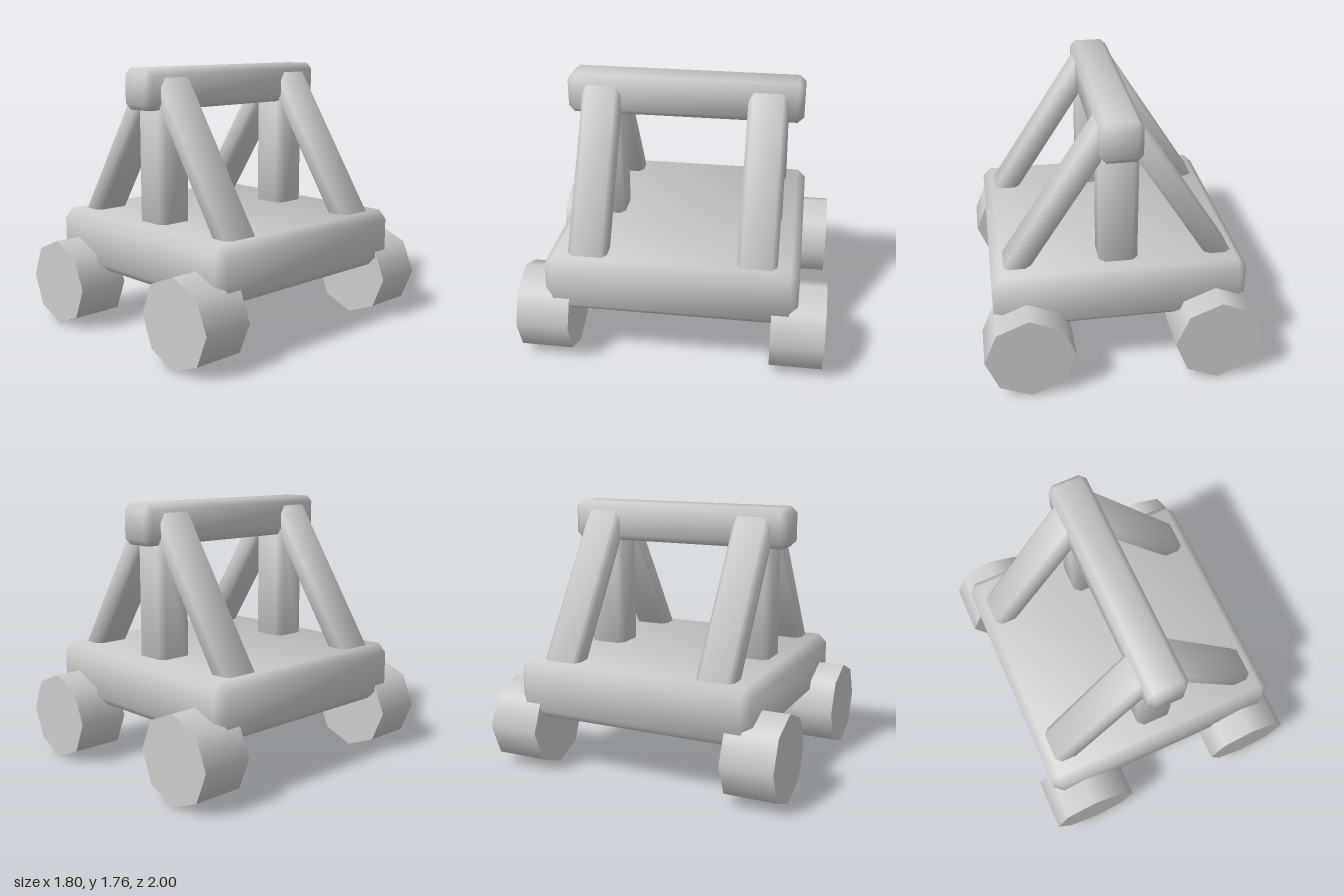
import * as THREE from 'three';
import { ConvexGeometry } from 'three/addons/geometries/ConvexGeometry.js';

// Box with every edge cut by one chamfer and softly blended normals
function chamferedBox(w, h, d, c) {
  const half = [w / 2, h / 2, d / 2];
  const points = [];
  for (const sx of [-1, 1]) for (const sy of [-1, 1]) for (const sz of [-1, 1]) {
    for (let axis = 0; axis < 3; axis++) {
      const p = half.map((v, i) => (i === axis ? v : v - c));
      points.push(new THREE.Vector3(sx * p[0], sy * p[1], sz * p[2]));
    }
  }
  const geometry = new ConvexGeometry(points);
  const pos = geometry.attributes.position;
  const normal = geometry.attributes.normal;
  for (let i = 0; i < pos.count; i++) {
    const p = [pos.getX(i), pos.getY(i), pos.getZ(i)];
    const n = p.map((v, k) => Math.sign(v) * (half[k] - Math.abs(v) < c / 2 ? 1 : 0.39));
    const v = new THREE.Vector3(...n).normalize();
    normal.setXYZ(i, v.x, v.y, v.z);
  }
  return geometry;
}

export function createModel() {
  const model = new THREE.Group();
  model.name = 'wheeledFrame';
  const grey = new THREE.MeshStandardMaterial({ color: 0xcccccc });
  grey.name = 'plain grey';

  const add = (name, geometry, x, y, z) => {
    const mesh = new THREE.Mesh(geometry, grey);
    mesh.name = name;
    mesh.position.set(x, y, z);
    model.add(mesh);
    return mesh;
  };

  // Deck and ridge beam
  add('deck', chamferedBox(1.645, 0.377, 1.64, 0.058), 0, 0.567, 0);
  add('ridgeBeam', chamferedBox(0.264, 0.264, 1.565, 0.04), 0, 1.625, 0);

  // Wheels
  const wheel = new THREE.CylinderGeometry(0.29, 0.29, 0.345, 8);
  wheel.rotateX(Math.PI / 2);

  // Sloping braces run from the deck up into the ridge beam
  const foot = new THREE.Vector2(0.71, 0.665);
  const head = new THREE.Vector2(0.05, 1.69);
  const length = foot.distanceTo(head);
  const lean = Math.atan2(foot.x - head.x, head.y - foot.y);
  const brace = chamferedBox(0.147, length, 0.256, 0.032);
  const post = chamferedBox(0.252, 1.0, 0.252, 0.038);

  for (const [end, sz] of [['front', 1], ['back', -1]]) {
    add(end + 'Post', post, 0, 1.1, sz * 0.548);
    for (const [side, sx] of [['Left', 1], ['Right', -1]]) {
      add(end + side + 'Wheel', wheel, sx * 0.61, 0.29, sz * 0.8275);
      const b = add(end + side + 'Brace', brace,
        sx * (foot.x + head.x) / 2, (foot.y + head.y) / 2, sz * 0.548);
      b.rotation.z = sx * lean;
    }
  }
  return model;
}
